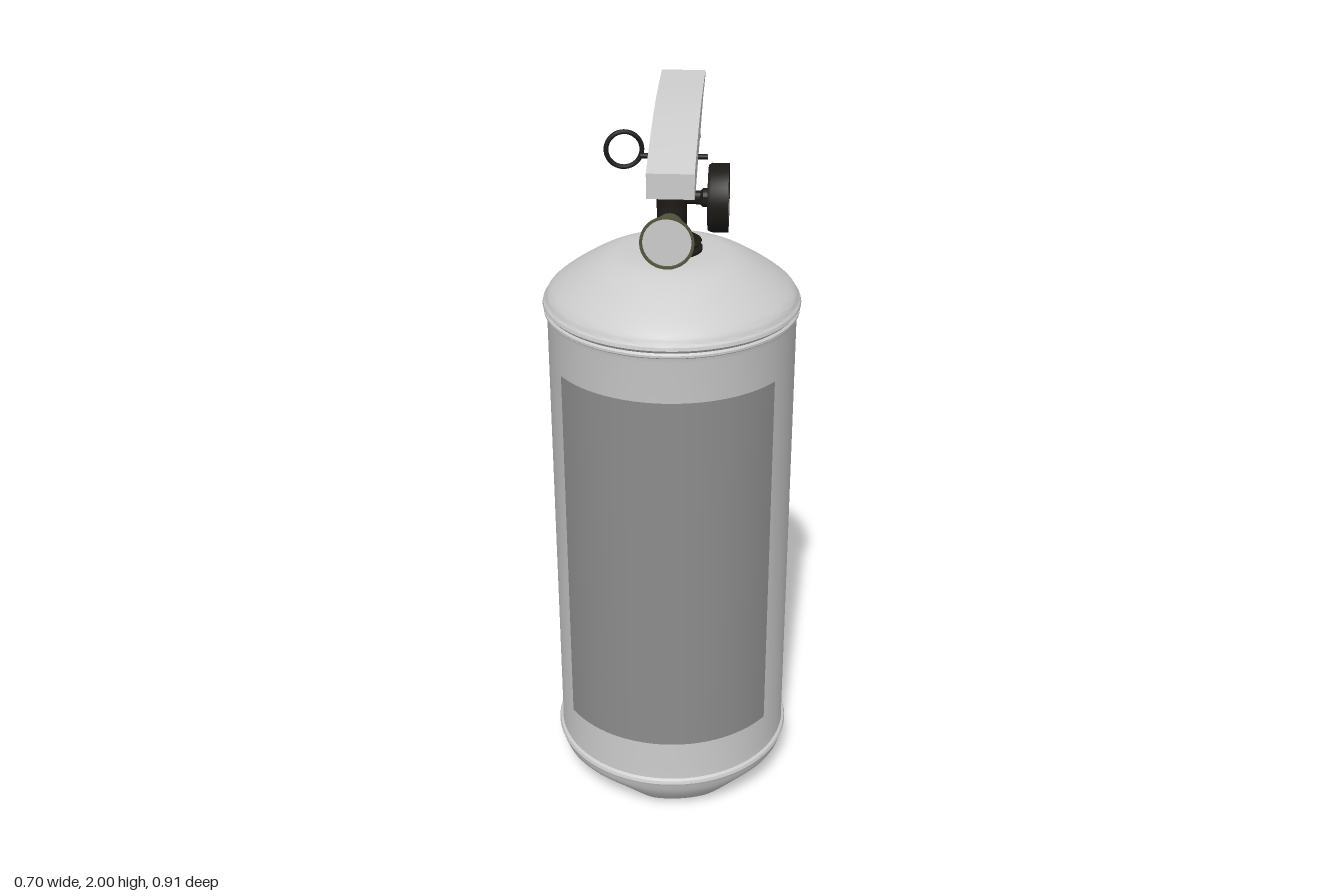
import * as THREE from 'three';
import { mergeVertices, toCreasedNormals } from 'three/addons/utils/BufferGeometryUtils.js';

const CZ = 0.108; // axis of the tank
const V = (pts) => pts.map(([a, b]) => new THREE.Vector2(a, b));

export function createModel() {
  const model = new THREE.Group();
  const grey = new THREE.MeshStandardMaterial({ color: 0xcccccc, side: THREE.DoubleSide });
  const paper = new THREE.MeshStandardMaterial({ color: 0x8c8c8c, side: THREE.DoubleSide });
  const black = new THREE.MeshStandardMaterial({ color: 0x1c1916 });
  const olive = new THREE.MeshStandardMaterial({ color: 0x55553f });

  const add = (name, geo, mat, x = 0, y = 0, z = 0, parent = model) => {
    const mesh = new THREE.Mesh(geo, mat);
    mesh.name = name;
    mesh.position.set(x, y, z);
    parent.add(mesh);
    return mesh;
  };
  const lathe = (pts, seg = 32) => toCreasedNormals(new THREE.LatheGeometry(V(pts), seg), 0.6);

  // Tank wall with rolled beads, shoulder and domed top
  const dome = new THREE.SplineCurve(V([
    [0.343, 1.535], [0.33, 1.558], [0.28, 1.597], [0.21, 1.64], [0.16, 1.66], [0.12, 1.665],
  ])).getPoints(20).map((p) => [p.x, p.y]);
  add('tank', lathe([
    [0.347, 0.122], [0.35, 0.13], [0.347, 0.139], [0.34, 0.144], [0.339, 0.17],
    [0.339, 1.485], [0.342, 1.498], [0.347, 1.502], [0.347, 1.508], [0.342, 1.513],
    [0.345, 1.516], [0.35, 1.522], [0.348, 1.531], ...dome, [0, 1.665],
  ], 72), grey, 0, 0, CZ);

  // Base pressed into four feet: blend a foot profile with a valley profile
  const foot = new THREE.SplineCurve(V([
    [0, 0.06], [0.09, 0.045], [0.16, 0.008], [0.2, 0], [0.25, 0.004], [0.285, 0.022], [0.33, 0.08], [0.348, 0.125],
  ])).getPoints(28);
  const valley = new THREE.SplineCurve(V([
    [0, 0.06], [0.09, 0.056], [0.16, 0.042], [0.2, 0.036], [0.25, 0.04], [0.3, 0.06], [0.337, 0.095], [0.348, 0.125],
  ])).getPoints(28);
  const SEG = 96;
  let base = new THREE.LatheGeometry(foot, SEG);
  const pos = base.attributes.position;
  for (let i = 0; i <= SEG; i++) {
    const a = (i / SEG) * Math.PI * 2;
    const w = THREE.MathUtils.smoothstep(0.5 + 0.5 * Math.cos(4 * (a - 0.15)), 0.05, 0.75);
    foot.forEach((f, j) => {
      const r = THREE.MathUtils.lerp(valley[j].x, f.x, w);
      const y = Math.max(0, THREE.MathUtils.lerp(valley[j].y, f.y, w));
      pos.setXYZ(i * foot.length + j, r * Math.sin(a), y, r * Math.cos(a));
    });
  }
  base.deleteAttribute('normal');
  base.deleteAttribute('uv');
  base = mergeVertices(base);
  base.computeVertexNormals();
  add('footedBase', base, grey, 0, 0, CZ);

  // Welded seam down the back
  const seamAngle = Math.atan2(0.235, -0.268);
  const seam = add('seam', new THREE.CylinderGeometry(0.013, 0.013, 1.35, 12), grey,
    0.337 * Math.sin(seamAngle), 0.82, CZ + 0.337 * Math.cos(seamAngle));
  seam.scale.set(1, 1, 0.9);

  // Label wrapped round the front
  const half = 0.97;
  add('label', new THREE.CylinderGeometry(0.344, 0.344, 1.1, 40, 1, true, -half, half * 2), paper, 0, 0.823, CZ);

  // Valve collar and neck
  add('valve', lathe([
    [0, 1.66], [0.082, 1.66], [0.082, 1.672], [0.07, 1.676], [0.07, 1.685], [0.08, 1.69],
    [0.055, 1.705], [0.04, 1.72], [0.04, 1.84], [0, 1.84],
  ]), black, 0, 0, CZ);

  // Discharge horn pointing forwards
  const horn = new THREE.Group();
  horn.name = 'horn';
  horn.position.set(0, 1.76, 0);
  horn.rotation.x = Math.PI / 2;
  model.add(horn);
  add('hornCollar', new THREE.CylinderGeometry(0.037, 0.037, 0.1, 28), black, 0, 0.15, 0, horn);
  add('hornCone', lathe([
    [0, 0.195], [0.036, 0.195], [0.038, 0.22], [0.07, 0.317], [0.07, 0.325], [0.064, 0.325], [0.062, 0.318],
  ]), olive, 0, 0, 0, horn);
  add('hornMouth', new THREE.CircleGeometry(0.064, 32).rotateX(-Math.PI / 2), grey, 0, 0.32, 0, horn);

  // Pressure gauge facing the side
  const gauge = new THREE.Group();
  gauge.name = 'gauge';
  gauge.position.set(0, 1.808, 0.105);
  gauge.rotation.z = -Math.PI / 2;
  model.add(gauge);
  add('gaugeCase', lathe([
    [0, 0.02], [0.018, 0.02], [0.018, 0.075], [0.025, 0.082], [0.025, 0.094], [0.085, 0.096],
    [0.09, 0.105], [0.09, 0.15], [0.084, 0.15], [0.083, 0.143], [0, 0.143],
  ], 40), black, 0, 0, 0, gauge);
  add('gaugeFace', new THREE.CircleGeometry(0.083, 40).rotateX(-Math.PI / 2), grey, 0, 0.145, 0, gauge);
  const needle = new THREE.Shape(V([[-0.007, -0.015], [0.007, -0.015], [0.009, 0.035], [0, 0.065], [-0.009, 0.035]]));
  const needleMesh = add('gaugeNeedle', new THREE.ExtrudeGeometry(needle, { depth: 0.002, bevelEnabled: false })
    .rotateY(Math.PI / 2), black, 0.146, 1.808, 0.105);
  needleMesh.rotation.x = 0.06;

  // Folded sheet handles: profiles are given as (z, y) and extruded across x
  const side = (pts, width) => {
    const geo = new THREE.ExtrudeGeometry(new THREE.Shape(V(pts)), { depth: width, bevelEnabled: false });
    return toCreasedNormals(geo.translate(0, 0, -width / 2).rotateY(-Math.PI / 2), 0.5);
  };
  const channel = (name, spine, edge, width, thick) => {
    const group = new THREE.Group();
    group.name = name;
    model.add(group);
    const sign = spine[1][1] > edge[1][1] ? -1 : 1;
    const inner = spine.map(([z, y]) => [z, y + sign * thick]).reverse();
    add(name + 'Web', side([...spine, ...inner], width), grey, 0, 0, 0, group);
    for (const s of [-1, 1]) {
      add(name + 'Flange', side([...spine, ...[...edge].reverse()], thick), grey, s * (width - thick) / 2, 0, 0, group);
    }
    return group;
  };
  const lever = channel('lever',
    [[0.176, 1.893], [0.1, 1.918], [0, 1.945], [-0.1, 1.967], [-0.2, 1.983], [-0.3, 1.992], [-0.455, 2]],
    [[0.176, 1.825], [0.1, 1.835], [0, 1.868], [-0.1, 1.897], [-0.2, 1.928], [-0.3, 1.96], [-0.455, 1.985]],
    0.126, 0.008);
  add('leverNose', new THREE.BoxGeometry(0.126, 0.066, 0.008), grey, 0, 1.858, 0.172, lever);
  channel('carryHandle',
    [[0.14, 1.82], [0.03, 1.836], [-0.1, 1.838], [-0.2, 1.84], [-0.3, 1.842], [-0.35, 1.835], [-0.385, 1.82]],
    [[0.14, 1.875], [0.03, 1.885], [-0.1, 1.876], [-0.2, 1.866], [-0.3, 1.856], [-0.35, 1.847], [-0.385, 1.829]],
    0.108, 0.007);

  // Safety pin with pull ring
  add('safetyPin', new THREE.CylinderGeometry(0.007, 0.007, 0.18, 12).rotateZ(Math.PI / 2), black, 0, 1.885, 0);
  const ring = add('pullRing', new THREE.TorusGeometry(0.048, 0.0065, 10, 36), black, -0.135, 1.9, -0.006);
  ring.rotation.y = 0.14;

  return model;
}
